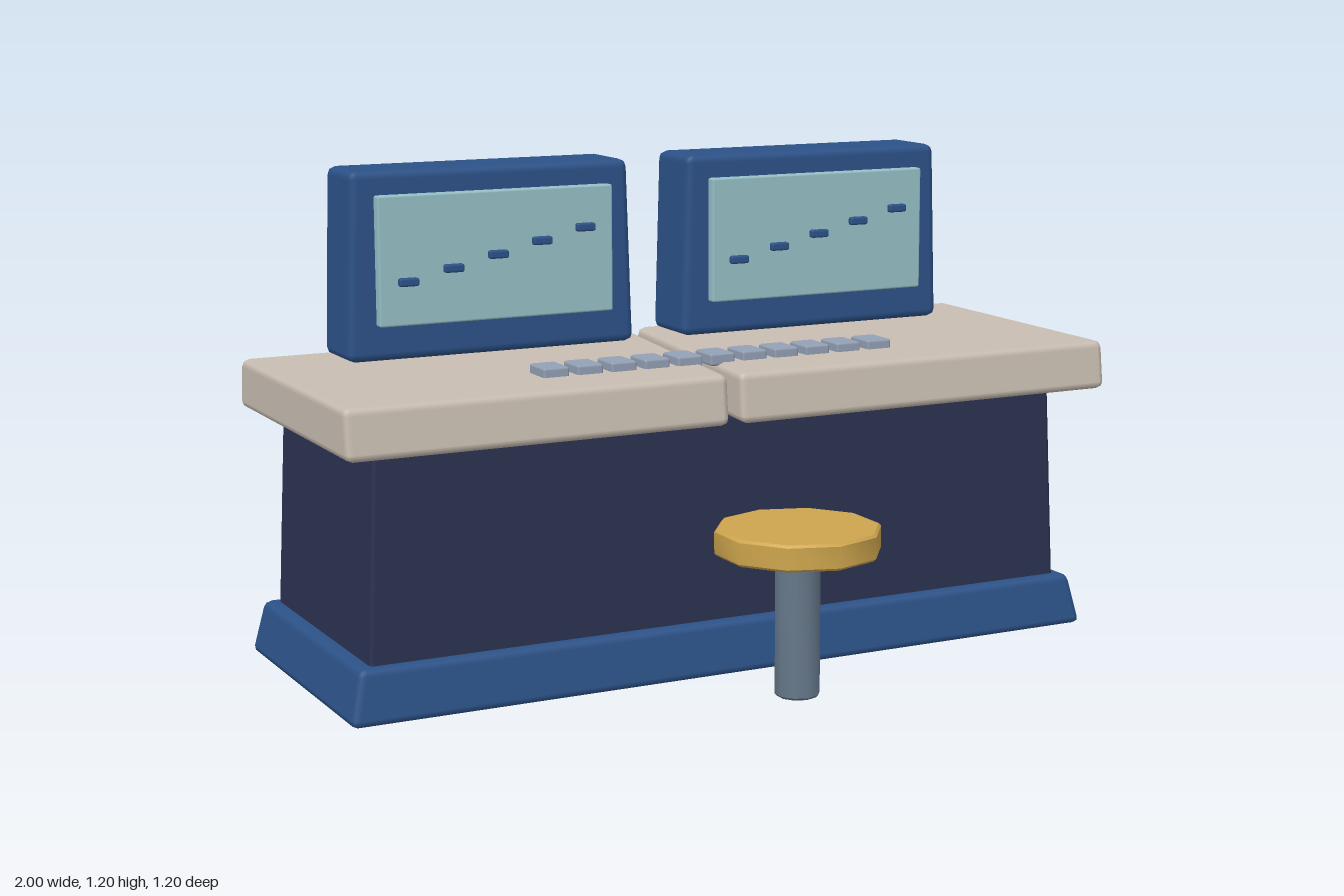
import * as THREE from 'three';
import { RoundedBoxGeometry } from 'three/addons/geometries/RoundedBoxGeometry.js';
import { toCreasedNormals } from 'three/addons/utils/BufferGeometryUtils.js';

const paint = (name, color) => {
  const m = new THREE.MeshStandardMaterial({ color });
  m.name = name;
  return m;
};

// Box with chamfered edges whose top is scaled by tx, tz relative to its bottom.
function taperedBox(w, h, d, bevel, tx = 1, tz = 1) {
  const geo = new RoundedBoxGeometry(w, h, d, 1, bevel);
  const p = geo.attributes.position, n = geo.attributes.normal;
  const kx = (tx - 1) / h, kz = (tz - 1) / h;
  const v = new THREE.Vector3();
  for (let i = 0; i < p.count; i++) {
    const x = p.getX(i), y = p.getY(i), z = p.getZ(i);
    const sx = 1 + kx * (y + h / 2), sz = 1 + kz * (y + h / 2);
    p.setX(i, x * sx);
    p.setZ(i, z * sz);
    const nx = n.getX(i) / sx, nz = n.getZ(i) / sz;
    v.set(nx, n.getY(i) - x * kx * nx - z * kz * nz, nz).normalize();
    n.setXYZ(i, v.x, v.y, v.z);
  }
  return geo;
}

// Ten-sided turned solid with small chamfers at both ends.
function turned(r, h, b) {
  const pts = [[0, 0], [r - b, 0], [r, b], [r, h - b], [r - b, h], [0, h]]
    .map(([x, y]) => new THREE.Vector2(x, y));
  return toCreasedNormals(new THREE.LatheGeometry(pts, 10), 0.7);
}

export function createModel() {
  const blue = paint('blue', 0x2c5288);
  const navy = paint('navy', 0x2c3252);
  const beige = paint('beige', 0xc8bdb1);
  const glass = paint('screenTeal', 0x97c0c7);
  const keyGrey = paint('keyGrey', 0x93a0b5);
  const gold = paint('gold', 0xcda54d);
  const steel = paint('steel', 0x66788a);

  const model = new THREE.Group();
  model.name = 'controlDesk';
  const add = (parent, name, geo, mat, x, y, z) => {
    const mesh = new THREE.Mesh(geo, mat);
    mesh.name = name;
    mesh.position.set(x, y, z);
    parent.add(mesh);
    return mesh;
  };

  // Plinth and cabinet
  add(model, 'plinth', taperedBox(1.97, 0.13, 0.74, 0.018, 0.97, 0.95), blue, 0, 0.065, -0.23);
  add(model, 'cabinet', taperedBox(1.85, 0.51, 0.65, 0.012, 0.975, 0.975), navy, 0, 0.37, -0.23);

  // Two worktop halves, parted by a slanting gap
  for (const side of [-1, 1]) {
    const geo = taperedBox(0.985, 0.12, 0.77, 0.018, 1, 0.96);
    const p = geo.attributes.position;
    for (let i = 0; i < p.count; i++) {
      if (p.getX(i) * side < 0) p.setX(i, p.getX(i) - 0.118 * p.getZ(i));
    }
    add(model, side < 0 ? 'worktopRight' : 'worktopLeft', geo, beige, side * 0.5075, 0.68, -0.19);
  }

  // Monitors: casing, rear housing, screen and rising trace of dashes
  for (const [name, x] of [['monitorRight', -0.4425], ['monitorLeft', 0.4375]]) {
    const monitor = new THREE.Group();
    monitor.name = name;
    monitor.position.x = x;
    model.add(monitor);
    add(monitor, 'casing', taperedBox(0.745, 0.452, 0.18, 0.02, 0.96, 1), blue, 0, 0.976, -0.39);
    add(monitor, 'rearHousing', taperedBox(0.54, 0.325, 0.19, 0.018, 0.87, 0.96), blue, 0, 0.969, -0.48);
    add(monitor, 'screen', taperedBox(0.605, 0.31, 0.05, 0.005), glass, 0, 0.99, -0.3);
    for (let i = 0; i < 5; i++) {
      add(monitor, 'traceDash', taperedBox(0.05, 0.02, 0.022, 0.005), blue,
        -0.231 + i * 0.1145, 0.94 + i * 0.0263, -0.272);
    }
  }

  // Row of keys
  for (let i = 0; i < 11; i++) {
    add(model, 'key', taperedBox(0.066, 0.03, 0.086, 0.006), keyGrey, -0.427 + i * 0.0867, 0.747, -0.017);
  }

  // Stool
  const stool = new THREE.Group();
  stool.name = 'stool';
  stool.position.z = 0.408;
  model.add(stool);
  add(stool, 'seat', turned(0.194, 0.062, 0.006), gold, 0, 0.358, 0);
  add(stool, 'post', turned(0.053, 0.33, 0.006), steel, 0, 0.02, 0);

  return model;
}
